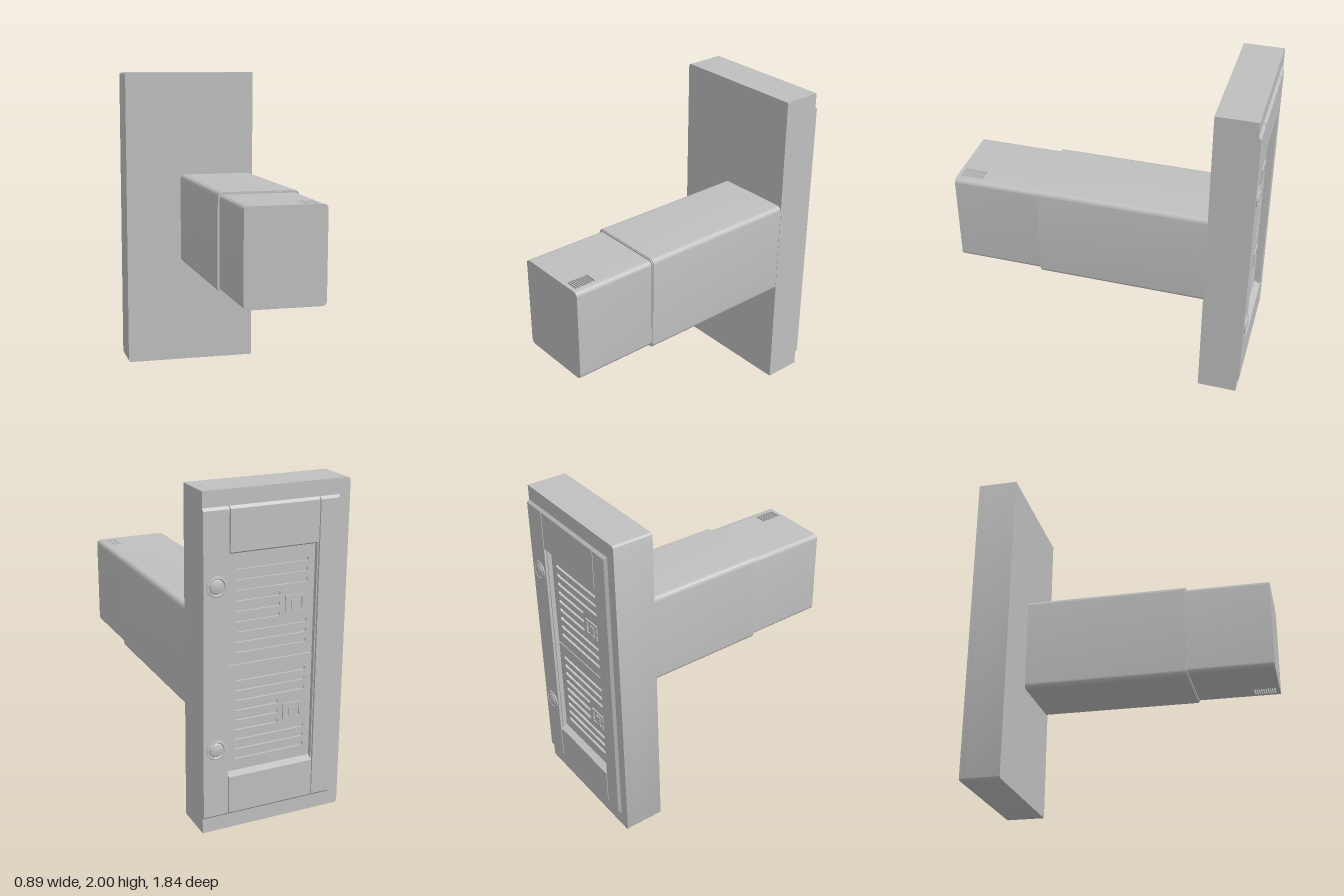
import * as THREE from 'three';
import { toCreasedNormals } from 'three/addons/utils/BufferGeometryUtils.js';

// rectangle outline with separate corner radii at its -x and +x ends
function outline(x0, x1, y0, y1, rMinus = 0, rPlus = rMinus) {
  const s = new THREE.Shape();
  const corner = (x, y, r, a) => (r > 0 ? s.absarc(x, y, r, a, a + Math.PI / 2, false) : s.lineTo(x, y));
  s.moveTo(x0 + rMinus, y0);
  corner(x1 - rPlus, y0 + rPlus, rPlus, -Math.PI / 2);
  corner(x1 - rPlus, y1 - rPlus, rPlus, 0);
  corner(x0 + rMinus, y1 - rMinus, rMinus, Math.PI / 2);
  corner(x0 + rMinus, y0 + rMinus, rMinus, Math.PI);
  return s;
}

// extrude an outline from z0 to z1
function slab(shape, z0, z1) {
  const g = new THREE.ExtrudeGeometry(shape, { depth: z1 - z0, bevelEnabled: false, curveSegments: 6 });
  g.translate(0, 0, z0);
  return toCreasedNormals(g, 0.6);
}

// box whose rear (-z) face is pulled in by the given amounts
function taperBox(x0, x1, y0, y1, z0, z1, { left = 0, bottom = 0, top = 0 } = {}) {
  const g = new THREE.BoxGeometry(x1 - x0, y1 - y0, z1 - z0).toNonIndexed();
  g.translate((x0 + x1) / 2, (y0 + y1) / 2, (z0 + z1) / 2);
  const p = g.attributes.position;
  const mx = (x0 + x1) / 2, my = (y0 + y1) / 2, mz = (z0 + z1) / 2;
  for (let i = 0; i < p.count; i++) {
    if (p.getZ(i) > mz) continue;
    if (p.getX(i) < mx) p.setX(i, p.getX(i) + left);
    p.setY(i, p.getY(i) + (p.getY(i) < my ? bottom : -top));
  }
  g.computeVertexNormals();
  return g;
}

export function createModel() {
  const model = new THREE.Group();
  const grey = new THREE.MeshStandardMaterial({ color: 0xbfbfbf });
  grey.name = 'plain grey';
  const add = (name, geometry, parent = model) => {
    const m = new THREE.Mesh(geometry, grey);
    m.name = name;
    parent.add(m);
    return m;
  };

  // housing: solid front with a rear frame around the recess
  const RX0 = -0.25, RX1 = 0.285, RY0 = 0.33, RY1 = 1.66;
  const FLOOR = -0.848, BACK = -0.888, FACE = -0.903;
  add('housing', slab(outline(-0.443, 0.443, 0, 2, 0.018, 0), FLOOR, -0.643));
  const frame = outline(-0.443, 0.443, 0, 2, 0.018, 0);
  frame.holes.push(outline(RX0, RX1, RY0, RY1));
  add('rearFrame', slab(frame, BACK, FLOOR));

  // raised rear cover panels, parted by narrow grooves
  const cover = new THREE.Group();
  cover.name = 'rearCover';
  model.add(cover);
  const ends = { bottom: 0.015, top: 0.015 };
  add('hingeStrip', taperBox(0.292, 0.443, 0.09, 1.91, FACE, BACK, ends), cover);
  add('edgeStrip', taperBox(-0.38, -0.256, 0.09, 1.91, FACE, BACK, { ...ends, left: 0.015 }), cover);
  add('upperPanel', taperBox(RX0, RX1, RY1, 1.91, FACE, BACK, { top: 0.015 }), cover);
  add('lowerPanel', taperBox(RX0, RX1, 0.09, RY0, FACE, BACK, { bottom: 0.015 }), cover);

  // sloped ledges at both ends of the recess
  add('upperLedge', taperBox(RX0, RX1, RY1 - 0.025, RY1, BACK - 0.014, FLOOR, { bottom: 0.024 }), cover);
  add('lowerLedge', taperBox(RX0, RX1, RY0, RY0 + 0.025, BACK - 0.014, FLOOR, { top: 0.024 }), cover);

  // two slotted grilles, each with a small latch
  for (const [y0, y1, middle] of [[RY0, 0.996, 0.67], [1.004, RY1, 1.32]]) {
    const grille = new THREE.Group();
    grille.name = 'grille';
    model.add(grille);
    const plate = outline(RX0, RX1, y0, y1);
    for (let i = -4; i <= 4; i++) {
      const y = middle + i * 0.06;
      const end = Math.abs(i) <= 1 ? -0.04 : -0.21;
      plate.holes.push(outline(end, 0.235, y - 0.012, y + 0.012, 0.0119));
    }
    add('grillePlate', slab(plate, FLOOR - 0.014, FLOOR), grille);
    const rim = outline(-0.19, -0.07, middle - 0.06, middle + 0.04);
    rim.holes.push(outline(-0.175, -0.085, middle - 0.045, middle + 0.025));
    add('latchRim', slab(rim, FLOOR - 0.022, FLOOR - 0.014), grille);
    add('latchTab', slab(outline(-0.15, -0.11, middle - 0.045, middle + 0.01), FLOOR - 0.02, FLOOR - 0.014), grille);
  }

  // round knobs on the hinge strip
  const knobProfile = [[0.061, 0], [0.061, 0.005], [0.048, 0.008], [0.043, 0.002], [0.038, 0.009], [0.022, 0.014], [0, 0.016]]
    .map(([r, h]) => new THREE.Vector2(r, h));
  for (const y of [0.52, 1.48]) {
    const g = new THREE.LatheGeometry(knobProfile, 32);
    g.rotateX(-Math.PI / 2);
    add('knob', toCreasedNormals(g, 0.5)).position.set(0.365, y, FACE);
  }

  // sleeve around the arm, with a slightly eased front lip
  add('armSleeve', slab(outline(-0.068, 0.441, 0.698, 1.306, 0.032), -0.643, 0.387));
  add('armSleeveLip', slab(outline(-0.064, 0.437, 0.702, 1.302, 0.03), 0.387, 0.393));

  // arm tip, built around a block of slots running from top to bottom
  const tip = new THREE.Group();
  tip.name = 'armTip';
  model.add(tip);
  const TY0 = 0.712, TY1 = 1.292, SX0 = 0.3, SX1 = 0.383, TZ = 0.919;
  add('tipMain', slab(outline(-0.058, SX0, TY0, TY1, 0.028, 0), 0.38, TZ), tip);
  add('tipSide', slab(outline(SX1, 0.43, TY0, TY1, 0, 0.028), 0.38, TZ), tip);
  const middleBlock = (name, z0, z1) => add(name, slab(outline(SX0, SX1, TY0, TY1), z0, z1), tip);
  middleBlock('tipInner', 0.38, 0.758);
  middleBlock('tipEnd', 0.894, TZ);
  const pitch = (0.894 - 0.758) / 10;
  for (let i = 1; i < 10; i++) {
    const z = 0.758 + i * pitch;
    middleBlock('ventBar', z - 0.0025, z + 0.0025);
  }
  return model;
}
